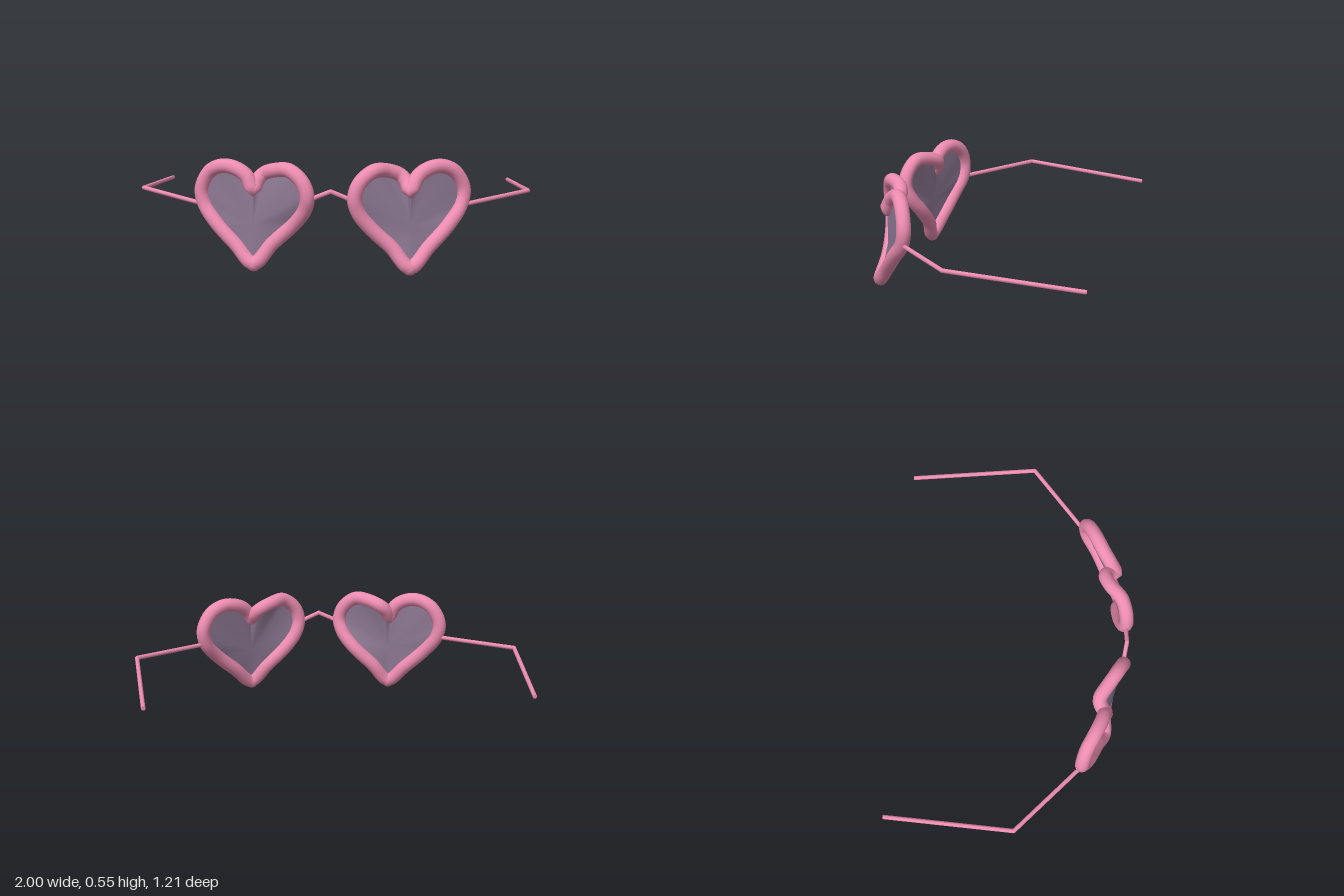
import * as THREE from 'three';

const pink = new THREE.MeshStandardMaterial({ color: 0xec8cb0 });
const tint = new THREE.MeshStandardMaterial({ color: 0x8c7892, side: THREE.DoubleSide });
const V = (p) => new THREE.Vector3(...p);

// Heart centre lines for the model's left (+x): notch, outer lobe, bottom tip, inner lobe
const leftHeart = [
  [0.38, 0.415, 0.50], [0.41, 0.475, 0.47], [0.46, 0.51, 0.43], [0.53, 0.52, 0.39],
  [0.60, 0.485, 0.355], [0.643, 0.40, 0.335], [0.63, 0.32, 0.35], [0.57, 0.235, 0.41],
  [0.47, 0.135, 0.48], [0.38, 0.05, 0.545],
  [0.29, 0.145, 0.53], [0.19, 0.24, 0.54], [0.13, 0.32, 0.555], [0.113, 0.39, 0.565],
  [0.135, 0.46, 0.56], [0.20, 0.515, 0.53], [0.27, 0.51, 0.47], [0.33, 0.485, 0.445], [0.36, 0.455, 0.46],
];
// The right heart has its own slight wobble in depth
const rightDepth = [0.475, 0.465, 0.45, 0.42, 0.385, 0.37, 0.375, 0.41, 0.45, 0.49,
  0.48, 0.495, 0.53, 0.555, 0.55, 0.52, 0.475, 0.44, 0.45];
const rightHeart = leftHeart.map(([x, y], i) => [-x, y, rightDepth[i]]);

// Thin rod through a few points, with round joints
function rod(name, points, radius) {
  const group = new THREE.Group();
  group.name = name;
  const pts = points.map(V);
  for (let i = 0; i + 1 < pts.length; i++) {
    const dir = pts[i + 1].clone().sub(pts[i]);
    const bar = new THREE.Mesh(new THREE.CylinderGeometry(radius, radius, dir.length(), 10), pink);
    bar.position.copy(pts[i]).addScaledVector(dir, 0.5);
    bar.quaternion.setFromUnitVectors(new THREE.Vector3(0, 1, 0), dir.normalize());
    bar.name = name + 'Bar';
    group.add(bar);
    if (i > 0) {
      const joint = new THREE.Mesh(new THREE.SphereGeometry(radius, 10, 8), pink);
      joint.position.copy(pts[i]);
      joint.name = name + 'Joint';
      group.add(joint);
    }
  }
  return group;
}

// Lens: a fan from a middle point out to the rim's centre line
function lensGeometry(curve, centre) {
  const n = 72;
  const pos = [...centre];
  const index = [];
  for (let i = 0; i < n; i++) {
    pos.push(...curve.getPoint(i / n).toArray());
    index.push(0, 1 + ((i + 1) % n), 1 + i);
  }
  // Keep the fan facing the front whichever way the heart runs
  if (centre[0] < 0) index.reverse();
  const geo = new THREE.BufferGeometry();
  geo.setAttribute('position', new THREE.Float32BufferAttribute(pos, 3));
  geo.setIndex(index);
  geo.computeVertexNormals();
  return geo;
}

export function createModel() {
  const model = new THREE.Group();
  model.name = 'heartGlasses';

  for (const [side, points, s, depth] of [['left', leftHeart, 1, 0.5], ['right', rightHeart, -1, 0.485]]) {
    // Heart rim and lens
    const curve = new THREE.CatmullRomCurve3(points.map(V), true, 'centripetal');
    const rim = new THREE.Mesh(new THREE.TubeGeometry(curve, 120, 0.036, 14, true), pink);
    rim.name = side + 'Rim';
    const lens = new THREE.Mesh(lensGeometry(curve, [0.38 * s, 0.24, depth]), tint);
    lens.name = side + 'Lens';
    // Rounded point below the heart
    const tip = new THREE.Mesh(new THREE.SphereGeometry(0.036, 14, 10), pink);
    tip.position.set(0.38 * s, 0.046, points[9][2]);
    tip.name = side + 'Tip';
    // Temple arm: angled back to the hinge, then straight back and down
    const arm = rod(side + 'Temple', [
      [0.65 * s, 0.32, s > 0 ? 0.335 : 0.36],
      [0.988 * s, 0.335, 0.05],
      [0.94 * s, 0.268, -0.605],
    ], 0.011);
    model.add(rim, lens, tip, arm);
  }

  // Nose bridge
  model.add(rod('bridge', [
    [-0.11, 0.37, 0.55], [-0.07, 0.395, 0.56], [0, 0.425, 0.57], [0.07, 0.395, 0.565], [0.11, 0.37, 0.56],
  ], 0.011));

  return model;
}
